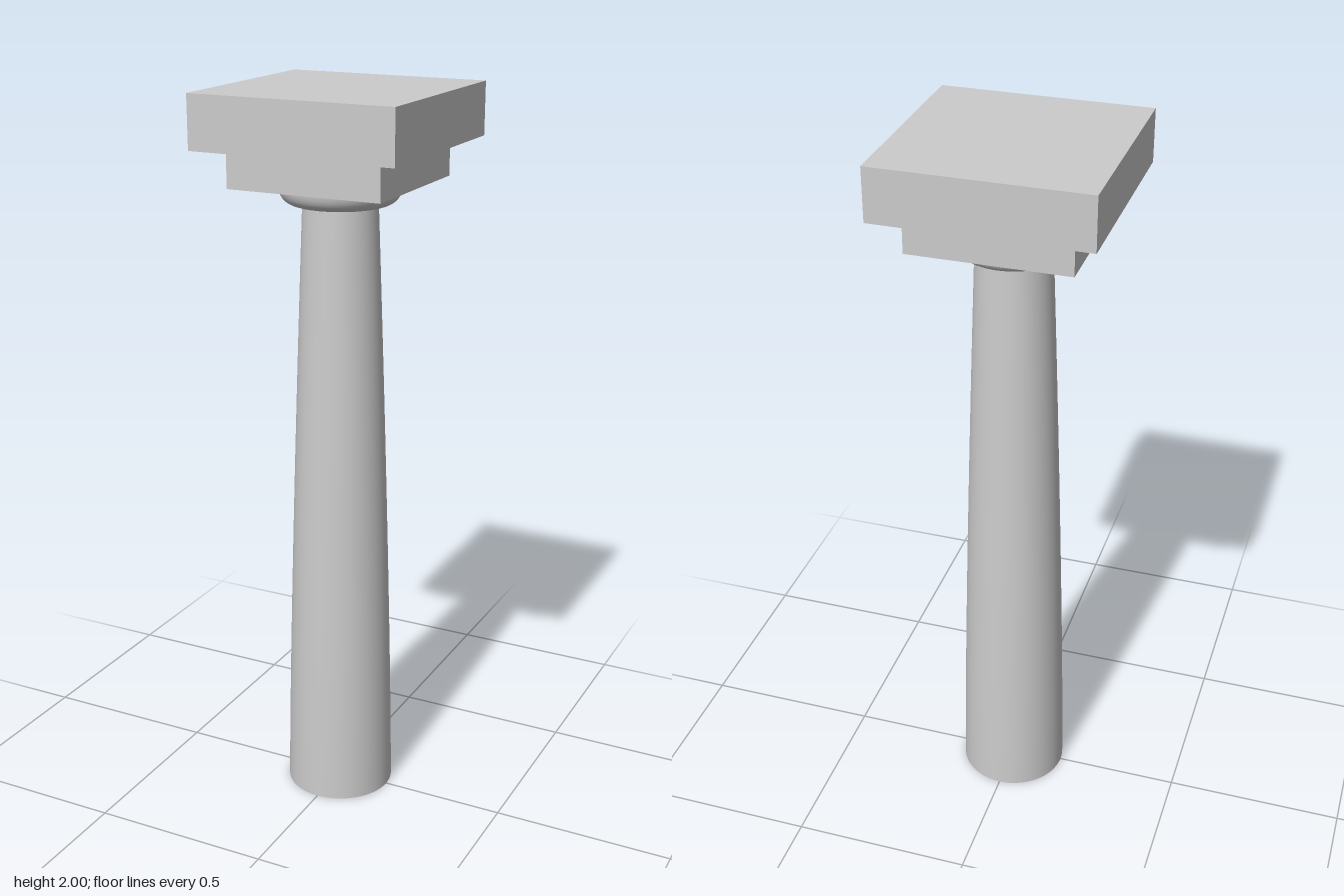
import * as THREE from 'three';

const material = new THREE.MeshStandardMaterial({ color: 0xcccccc });

export function createModel() {
  const group = new THREE.Group();
  const add = (name, geometry, y = 0) => {
    const mesh = new THREE.Mesh(geometry, material);
    mesh.name = name;
    mesh.position.y = y;
    group.add(mesh);
  };

  // Tapered shaft with a slight swelling
  const shaftTop = 1.705, steps = 20;
  const shaft = [];
  for (let i = 0; i <= steps; i++) {
    const t = i / steps;
    shaft.push(new THREE.Vector2(0.15 - 0.05 * t ** 1.3, t * shaftTop));
  }
  add('shaft', new THREE.LatheGeometry(shaft, 64));

  // Flat underside of the shaft
  const base = new THREE.CircleGeometry(0.15, 64);
  base.rotateX(Math.PI / 2);
  add('shaftBase', base);

  // Rounded cushion flaring out below the square blocks
  const cushion = new THREE.Path();
  cushion.moveTo(0.098, 1.703);
  cushion.lineTo(0.118, 1.703);
  cushion.bezierCurveTo(0.145, 1.704, 0.163, 1.722, 0.163, 1.758);
  add('cushion', new THREE.LatheGeometry(cushion.getPoints(12), 64));

  // Stacked square blocks
  const block = (name, width, bottom, top) =>
    add(name, new THREE.BoxGeometry(width, top - bottom, width), (bottom + top) / 2);
  block('lowerBlock', 0.43, 1.757, 1.858);
  block('upperBlock', 0.567, 1.858, 2);

  return group;
}
